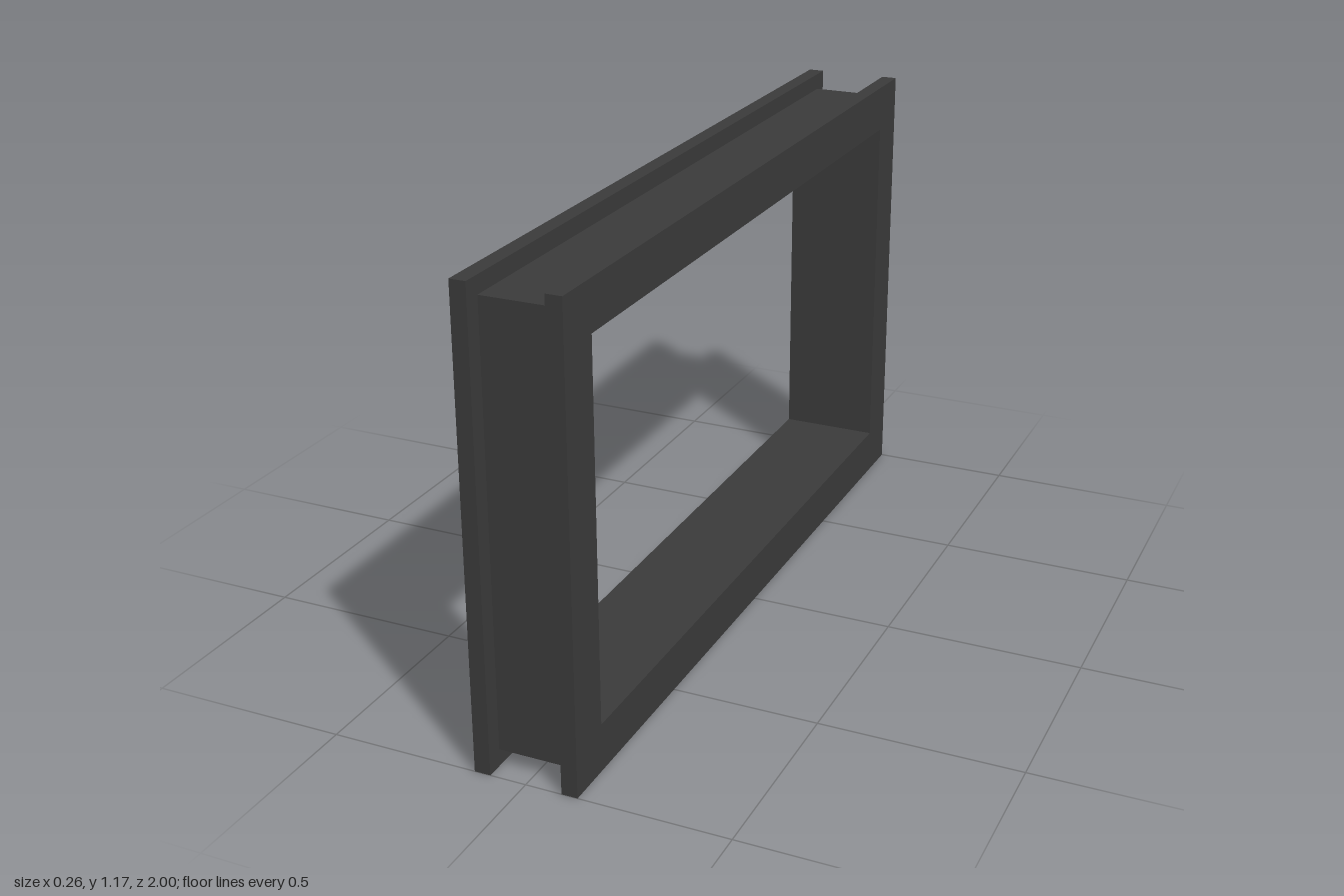
import * as THREE from 'three';

const HEIGHT = 1.17;
const OPENING_Z = 0.88, OPENING_BOTTOM = 0.12, OPENING_TOP = 1.05;

const material = new THREE.MeshStandardMaterial({ color: 0x3a3a3a });

// Rectangular ring around the shared opening, extruded along x from x0 to x1
function ring(name, halfLength, bottom, top, x0, x1) {
  const shape = new THREE.Shape();
  shape.moveTo(-halfLength, bottom);
  shape.lineTo(halfLength, bottom);
  shape.lineTo(halfLength, top);
  shape.lineTo(-halfLength, top);
  shape.closePath();

  const hole = new THREE.Path();
  hole.moveTo(-OPENING_Z, OPENING_BOTTOM);
  hole.lineTo(-OPENING_Z, OPENING_TOP);
  hole.lineTo(OPENING_Z, OPENING_TOP);
  hole.lineTo(OPENING_Z, OPENING_BOTTOM);
  hole.closePath();
  shape.holes.push(hole);

  const geometry = new THREE.ExtrudeGeometry(shape, { depth: x1 - x0, bevelEnabled: false });
  geometry.rotateY(Math.PI / 2);
  geometry.translate(x0, 0, 0);
  const mesh = new THREE.Mesh(geometry, material);
  mesh.name = name;
  return mesh;
}

export function createModel() {
  const group = new THREE.Group();
  group.name = 'channelFrame';

  // Recessed band that lines the opening
  group.add(ring('core', 0.957, 0.043, HEIGHT - 0.043, -0.09, 0.09));

  // Wider flanges on both sides form the outer channel
  group.add(ring('leftFlange', 1, 0, HEIGHT, 0.09, 0.13));
  group.add(ring('rightFlange', 1, 0, HEIGHT, -0.13, -0.09));

  return group;
}
